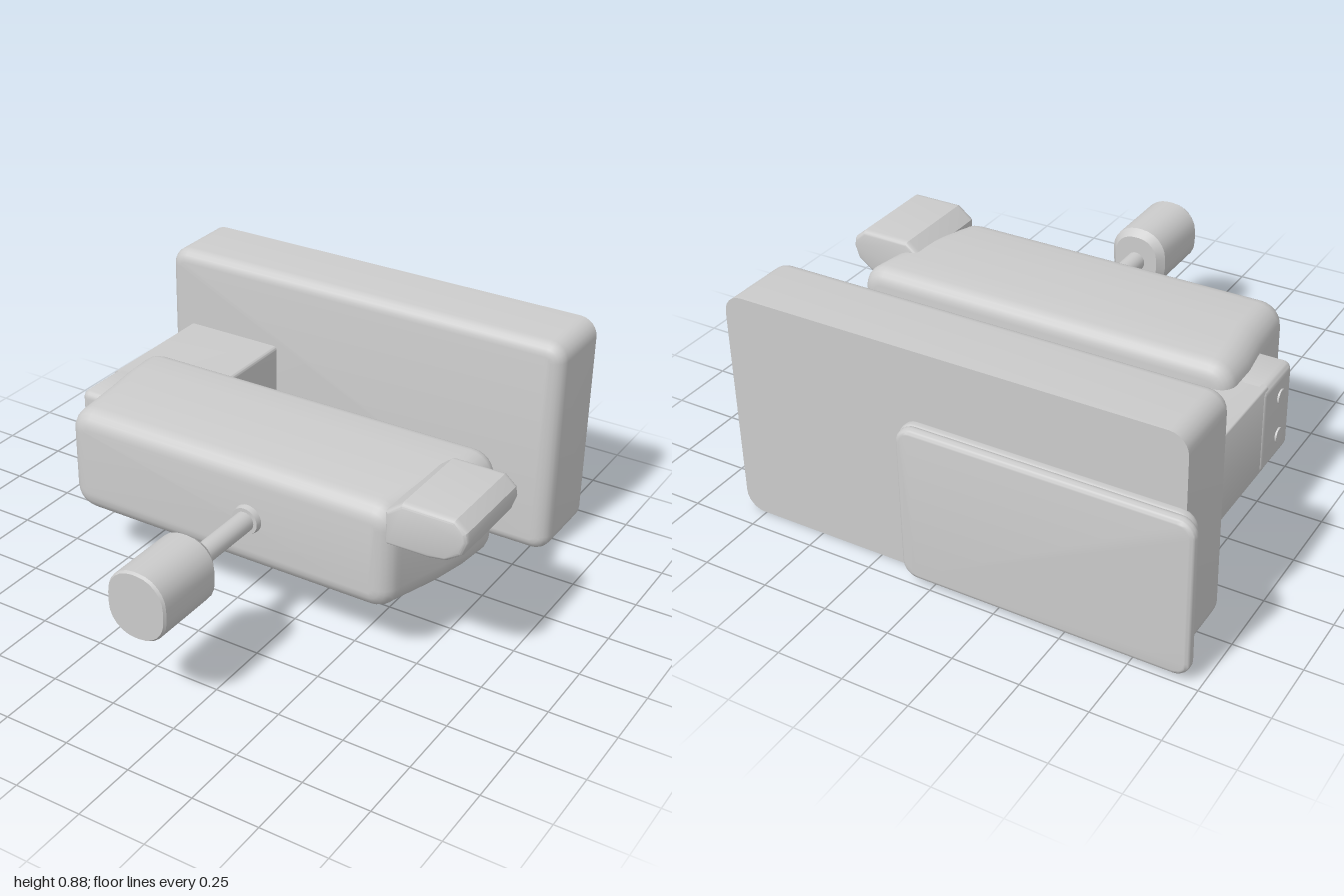
import * as THREE from 'three';
import { toCreasedNormals } from 'three/addons/utils/BufferGeometryUtils.js';

const mat = new THREE.MeshStandardMaterial({ color: 0xcccccc });

// Rounded-rectangle outline, counter-clockwise seen from +z
function ring([z, x0, x1, y0, y1, r], steps = 6) {
  const corners = [[x1 - r, y0 + r, -0.5], [x1 - r, y1 - r, 0], [x0 + r, y1 - r, 0.5], [x0 + r, y0 + r, 1]];
  const pts = [];
  for (const [cx, cy, start] of corners) {
    for (let i = 0; i <= steps; i++) {
      const a = Math.PI * (start + 0.5 * i / steps);
      pts.push([cx + r * Math.cos(a), cy + r * Math.sin(a), z]);
    }
  }
  return pts;
}

// Solid skinned over sections [z, x0, x1, y0, y1, radius] of increasing z
function loft(sections, crease = 0.7) {
  const rings = sections.map((s) => ring(s));
  const n = rings[0].length, last = rings.length - 1, pos = [];
  const tri = (a, b, c) => pos.push(...a, ...b, ...c);
  for (let i = 0; i < last; i++) {
    for (let j = 0; j < n; j++) {
      const k = (j + 1) % n;
      tri(rings[i][j], rings[i][k], rings[i + 1][k]);
      tri(rings[i][j], rings[i + 1][k], rings[i + 1][j]);
    }
  }
  for (let j = 1; j < n - 1; j++) {
    tri(rings[0][0], rings[0][j + 1], rings[0][j]);
    tri(rings[last][0], rings[last][j], rings[last][j + 1]);
  }
  const geo = new THREE.BufferGeometry();
  geo.setAttribute('position', new THREE.Float32BufferAttribute(pos, 3));
  return toCreasedNormals(geo, crease);
}

// Adds rounded edges of radius e0 (back) and e1 (front) to a list of sections
function softEnds(sections, e0, e1) {
  const inset = ([, x0, x1, y0, y1, r], z, d) =>
    [z, x0 + d, x1 - d, y0 + d, y1 - d, Math.max(r - d, 0.008)];
  const first = sections[0], end = sections[sections.length - 1], back = [], front = [];
  for (let i = 0; i < 5; i++) {
    const a = i / 5 * Math.PI / 2, d = 1 - Math.sin(a), c = Math.cos(a);
    if (e0) back.push(inset(first, first[0] - e0 * c, e0 * d));
    if (e1) front.unshift(inset(end, end[0] + e1 * c, e1 * d));
  }
  return [...back, ...sections, ...front];
}

// Rounded slab between z0 and z1
function slab(z0, z1, x0, x1, y0, y1, r, e0, e1) {
  return loft(softEnds([[z0 + e0, x0, x1, y0, y1, r], [z1 - e1, x0, x1, y0, y1, r]], e0, e1));
}

export function createModel() {
  const model = new THREE.Group();
  const add = (name, geo) => {
    const mesh = new THREE.Mesh(geo, mat);
    mesh.name = name;
    model.add(mesh);
    return mesh;
  };

  // Large rear block, soft at the front and sharp at the back
  add('rearBlock', slab(-0.92, -0.62, -0.9, 0.83, 0.01, 0.885, 0.07, 0, 0.05));

  // Two thin plates stacked on the back of the block
  add('plateBacking', slab(-0.955, -0.905, -0.94, 0.13, 0.05, 0.62, 0.06, 0.018, 0.018));
  add('backPlate', slab(-1, -0.955, -0.965, 0.11, 0.035, 0.635, 0.06, 0.018, 0.018));

  // Connecting arm and the hinge cheek at its end
  add('arm', slab(-0.64, -0.1, -0.805, -0.39, 0.225, 0.575, 0.015, 0, 0));
  add('hinge', slab(-0.14, 0.1, -0.81, -0.6, 0.225, 0.575, 0.03, 0.02, 0.03));
  for (const y of [0.32, 0.48]) {
    const screw = add('hingeScrew', new THREE.CylinderGeometry(0.028, 0.028, 0.02, 20));
    screw.rotation.z = Math.PI / 2;
    screw.position.set(-0.807, y, 0);
  }

  // Main body, narrowing towards the front
  add('body', loft(softEnds([
    [-0.15, -0.71, 0.8, 0.245, 0.66, 0.09],
    [-0.04, -0.71, 0.79, 0.24, 0.66, 0.1],
    [0.1, -0.69, 0.755, 0.235, 0.66, 0.1],
    [0.28, -0.675, 0.69, 0.235, 0.65, 0.09],
  ], 0.06, 0.07), 0.9));

  // Shallow oval pad under the body
  const pad = add('underPad', slab(0, 0.03, -0.48, 0.52, -0.16, 0.16, 0.15, 0, 0.01));
  pad.rotation.x = Math.PI / 2;
  pad.position.set(0, 0.254, 0.06);

  // Side tab on the upper corner
  const outline = new THREE.Shape([
    [0.64, 0.64], [0.69, 0.68], [0.72, 0.68], [0.905, 0.68], [0.94, 0.65], [0.945, 0.625],
    [0.93, 0.58], [0.88, 0.545], [0.82, 0.535], [0.64, 0.535],
  ].map(([x, y]) => new THREE.Vector2(x, y)));
  const tab = new THREE.ExtrudeGeometry(outline, {
    depth: 0.33, bevelEnabled: true, bevelSize: 0.015, bevelThickness: 0.025, bevelSegments: 4,
  });
  tab.translate(0, 0, -0.005);
  // Back part only reaches the body's side, so its inner edge follows the corner
  const p = tab.attributes.position;
  for (let i = 0; i < p.count; i++) {
    if (p.getX(i) < 0.71) p.setX(i, p.getX(i) + 0.03);
  }
  add('sideTab', toCreasedNormals(tab, 0.6));

  // Stem with collar, and the knob on its end
  const turned = (name, r0, r1, z0, z1) => {
    const geo = new THREE.CylinderGeometry(r1, r0, z1 - z0, 28);
    geo.rotateX(Math.PI / 2);
    add(name, geo).position.set(0.115, 0.44, (z0 + z1) / 2);
  };
  turned('stemCollar', 0.06, 0.052, 0.33, 0.372);
  turned('stem', 0.038, 0.038, 0.34, 0.72);
  add('knob', loft([
    [0.69, 0.025, 0.205, 0.34, 0.545, 0.08],
    [0.72, 0, 0.23, 0.315, 0.57, 0.105],
    [0.99, 0, 0.23, 0.315, 0.57, 0.105],
    [1, 0.006, 0.224, 0.321, 0.564, 0.1],
  ], 0.5));

  return model;
}
